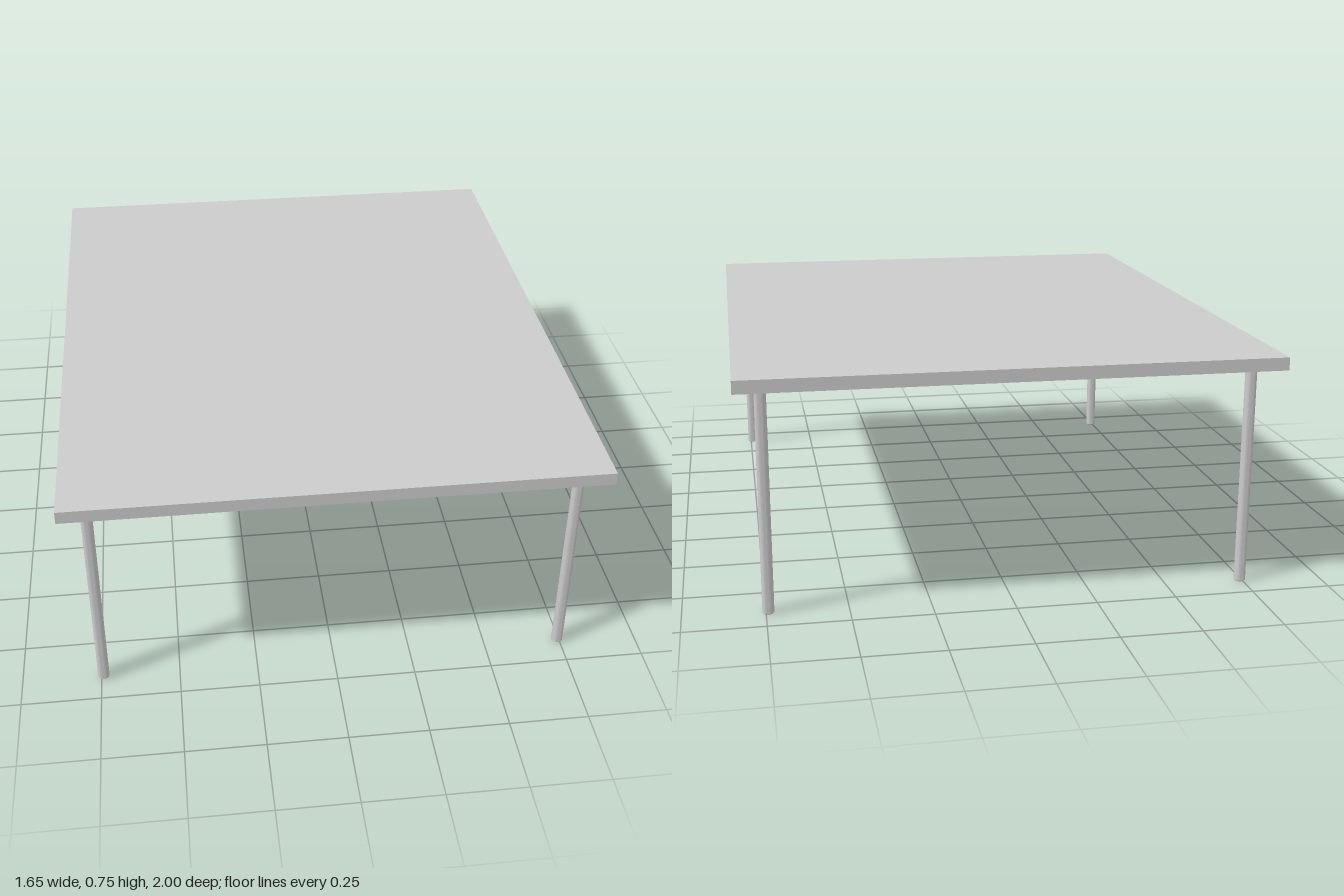
import * as THREE from 'three';
import { toCreasedNormals } from 'three/addons/utils/BufferGeometryUtils.js';

const WIDTH = 1.646, DEPTH = 2, HEIGHT = 0.746, THICKNESS = 0.04;
const LEG_X = 0.743, LEG_Z = 0.903, LEG_RADIUS = 0.018, BEVEL = 0.003;

export function createModel() {
  const group = new THREE.Group();
  group.name = 'table';
  const material = new THREE.MeshStandardMaterial({ color: 0xcccccc });

  // Flat slab top
  const top = new THREE.Mesh(new THREE.BoxGeometry(WIDTH, THICKNESS, DEPTH), material);
  top.name = 'tableTop';
  top.position.y = HEIGHT - THICKNESS / 2;
  group.add(top);

  // Round leg with slightly bevelled ends
  const legHeight = HEIGHT - THICKNESS;
  const profile = [
    [0, 0],
    [LEG_RADIUS - BEVEL, 0],
    [LEG_RADIUS, BEVEL],
    [LEG_RADIUS, legHeight - BEVEL],
    [LEG_RADIUS - BEVEL, legHeight],
    [0, legHeight],
  ].map(([r, y]) => new THREE.Vector2(r, y));
  const legGeometry = toCreasedNormals(new THREE.LatheGeometry(profile, 24), Math.PI / 6);

  // One leg near each corner
  for (const [zName, z] of [['front', LEG_Z], ['back', -LEG_Z]]) {
    for (const [xName, x] of [['Left', LEG_X], ['Right', -LEG_X]]) {
      const leg = new THREE.Mesh(legGeometry, material);
      leg.name = `${zName}${xName}Leg`;
      leg.position.set(x, 0, z);
      group.add(leg);
    }
  }
  return group;
}
